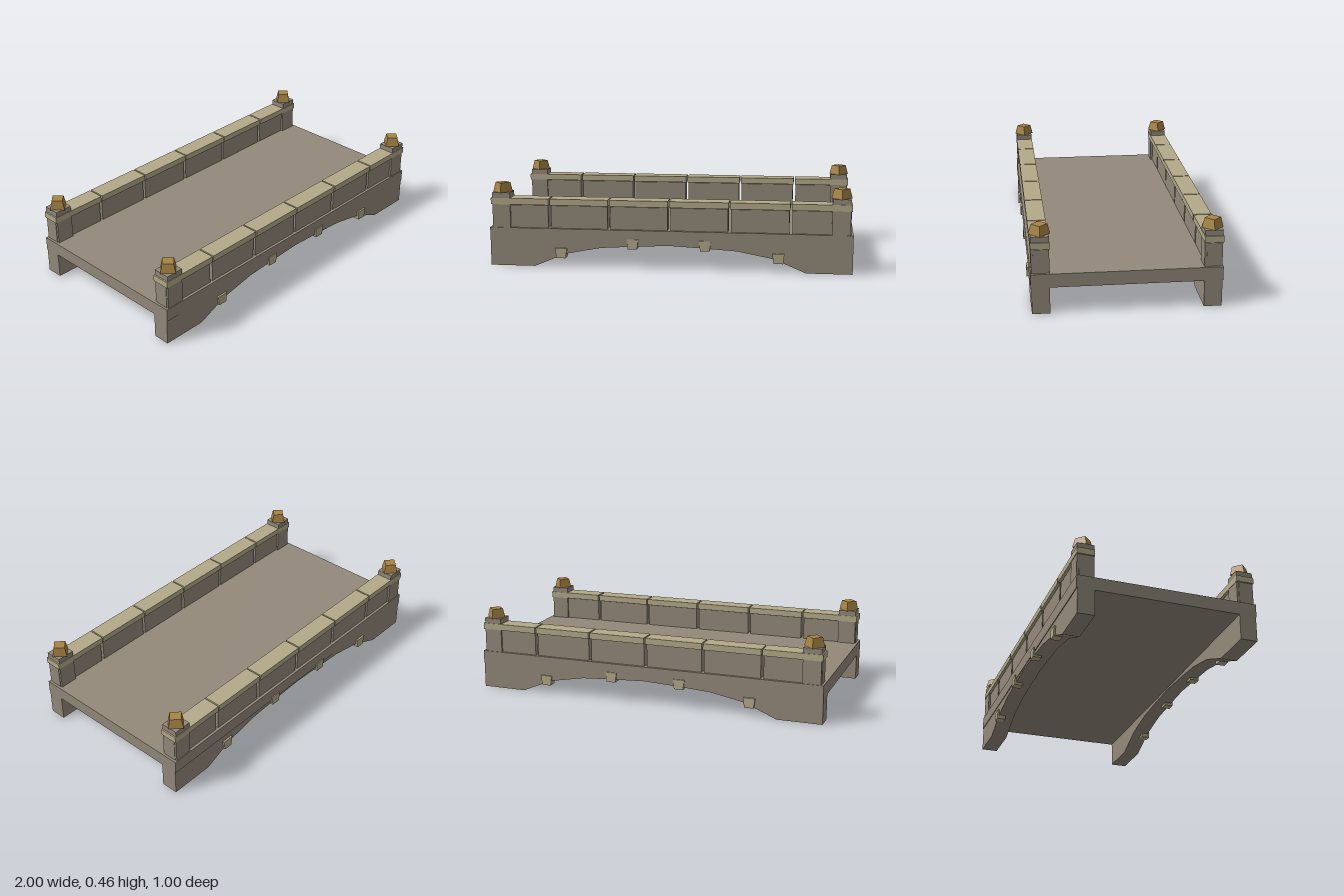
import * as THREE from 'three';

const mat = (name, color) => {
  const m = new THREE.MeshStandardMaterial({ color });
  m.name = name;
  return m;
};

export function createModel() {
  const stone = mat('stone', 0x93897a);
  const paleStone = mat('pale stone', 0xb4aa8a);
  const gold = mat('gold', 0xa88444);

  const bridge = new THREE.Group();
  bridge.name = 'bridge';

  const add = (parent, name, geometry, material, x = 0, y = 0, z = 0) => {
    const mesh = new THREE.Mesh(geometry, material);
    mesh.name = name;
    mesh.position.set(x, y, z);
    parent.add(mesh);
    return mesh;
  };
  // box given by its extents
  const box = (parent, name, material, x0, x1, y0, y1, z0, z1) =>
    add(parent, name, new THREE.BoxGeometry(x1 - x0, y1 - y0, z1 - z0), material,
      (x0 + x1) / 2, (y0 + y1) / 2, (z0 + z1) / 2);
  // outline in x and y, extruded from z = 0
  const prism = (points, depth) => new THREE.ExtrudeGeometry(
    new THREE.Shape(points.map(([x, y]) => new THREE.Vector2(x, y))),
    { depth, bevelEnabled: false });

  // road deck
  box(bridge, 'deck', stone, -1, 1, 0.142, 0.215, -0.492, 0.492);

  // half of the faceted arch, mirrored to the other half
  const half = [[0.75, 0], [0.62, 0.055], [0.56, 0.077], [0.375, 0.112], [0.2, 0.123]];
  const arch = [
    [-1, 0], ...half.map(([x, y]) => [-x, y]), [0, 0.133],
    ...half.slice().reverse(), [1, 0], [1, 0.145], [-1, 0.145],
  ];

  for (const side of [1, -1]) {
    const group = new THREE.Group();
    group.name = side > 0 ? 'frontSide' : 'backSide';
    // a half turn keeps the back faces wound correctly
    group.rotation.y = side > 0 ? 0 : Math.PI;
    bridge.add(group);

    // arched side wall
    add(group, 'archWall', prism(arch, 0.093), stone, 0, 0, 0.395);

    // tapered arch stones
    for (const [x, y] of [[-0.6, 0.05], [-0.2, 0.11], [0.2, 0.11], [0.6, 0.05]]) {
      const stoneShape = [[-0.026, 0], [0.026, 0], [0.033, 0.055], [-0.033, 0.055]];
      add(group, 'archStone', prism(stoneShape, 0.05), paleStone, x, y, 0.448);
    }

    // parapet blocks and coping slabs with open joints
    for (let i = 0; i < 6; i++) {
      const a = -0.996 + i * 0.332;
      const b = a + 0.332;
      const x0 = i === 0 ? -0.987 : a + 0.008;
      const x1 = i === 5 ? 0.987 : b - 0.008;
      box(group, 'parapetBlock', stone, x0, x1, 0.213, 0.341, 0.407, 0.477);
      box(group, 'copingSlab', paleStone, i === 0 ? -0.992 : a + 0.004,
        i === 5 ? 0.992 : b - 0.004, 0.345, 0.38, 0.393, 0.491);
    }

    // end posts with four-sided caps
    for (const x of [-0.934, 0.934]) {
      box(group, 'post', stone, x - 0.05, x + 0.05, 0.213, 0.41, 0.395, 0.488);
      const cap = new THREE.CylinderGeometry(0.042, 0.056, 0.053, 4, 1).toNonIndexed();
      cap.computeVertexNormals();
      add(group, 'postCap', cap, gold, x, 0.4355, 0.441);
    }
  }

  return bridge;
}
